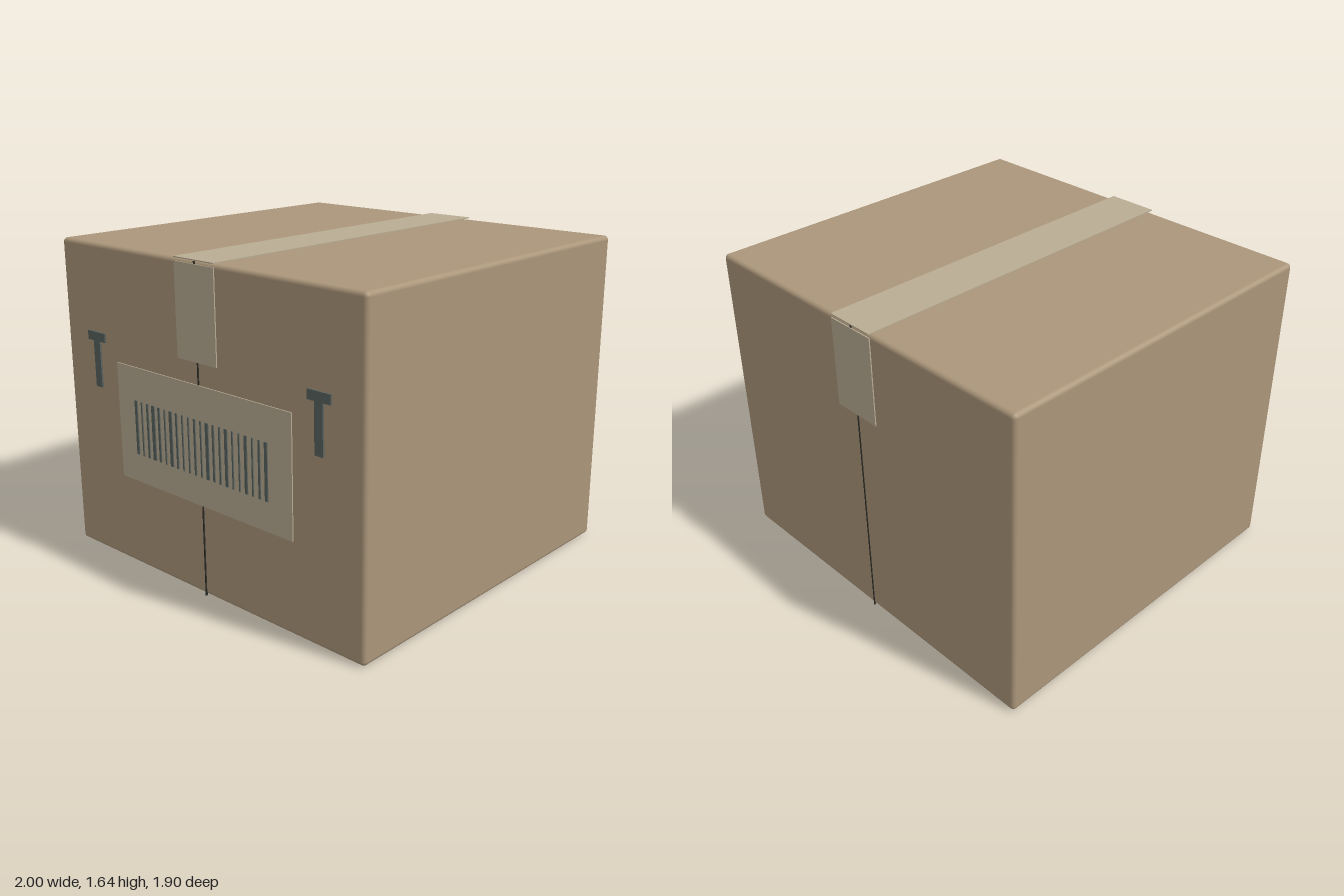
import * as THREE from 'three';
import { RoundedBoxGeometry } from 'three/addons/geometries/RoundedBoxGeometry.js';

const cardboard = new THREE.MeshStandardMaterial({ color: 0xab967a });
const paper = new THREE.MeshStandardMaterial({ color: 0xb9ac93 });
const ink = new THREE.MeshStandardMaterial({ color: 0x59625f });
const dark = new THREE.MeshStandardMaterial({ color: 0x2c2c28 });

export function createModel() {
  const model = new THREE.Group();

  // Box given by its limits on each axis
  const slab = (name, material, [x0, x1], [y0, y1], [z0, z1], parent = model) => {
    const mesh = new THREE.Mesh(new THREE.BoxGeometry(x1 - x0, y1 - y0, z1 - z0), material);
    mesh.position.set((x0 + x1) / 2, (y0 + y1) / 2, (z0 + z1) / 2);
    mesh.name = name;
    parent.add(mesh);
    return mesh;
  };

  // Carton with softly rounded edges
  const carton = new THREE.Mesh(new RoundedBoxGeometry(2, 1.624, 1.878, 3, 0.022), cardboard);
  carton.position.set(0, 0.816, -0.004);
  carton.name = 'carton';
  model.add(carton);

  // Packing tape over the top, with a flap down the front and back
  const tapeX = [-0.132, 0.132];
  slab('topTape', paper, tapeX, [1.632, 1.637], [-0.95, 0.945]);
  slab('frontTape', paper, tapeX, [1.166, 1.616], [0.938, 0.944]);
  slab('backTape', paper, tapeX, [1.166, 1.616], [-0.95, -0.944]);

  // Seams down the middle of the front and back
  slab('frontSeam', dark, [-0.003, 0.003], [0, 1.628], [0.932, 0.941]);
  slab('backSeam', dark, [-0.003, 0.003], [0, 1.628], [-0.947, -0.94]);

  // Shipping label
  slab('label', paper, [-0.594, 0.594], [0.468, 1.059], [0.939, 0.945]);

  // Printed stripes on the label
  const stripes = new THREE.Group();
  stripes.name = 'stripes';
  model.add(stripes);
  const widths = [18, 8, 13, 22, 14, 8, 20, 12, 8, 8, 12, 8, 20, 12, 10, 18, 8, 8, 17, 8, 12, 18];
  widths.forEach((w, i) => {
    const x = -0.457 + i * 0.0427;
    slab('stripe', ink, [x - w / 2000, x + w / 2000], [0.615, 0.892], [0.944, 0.95], stripes);
  });

  // T-shaped marks on both sides of the label
  for (const side of [-1, 1]) {
    const mark = new THREE.Group();
    mark.name = side > 0 ? 'leftMark' : 'rightMark';
    mark.position.x = side * 0.751;
    model.add(mark);
    slab('markBar', ink, [-0.067, 0.067], [1.139, 1.185], [0.936, 0.945], mark);
    slab('markStem', ink, [-0.024, 0.024], [0.902, 1.139], [0.936, 0.945], mark);
  }
  return model;
}
